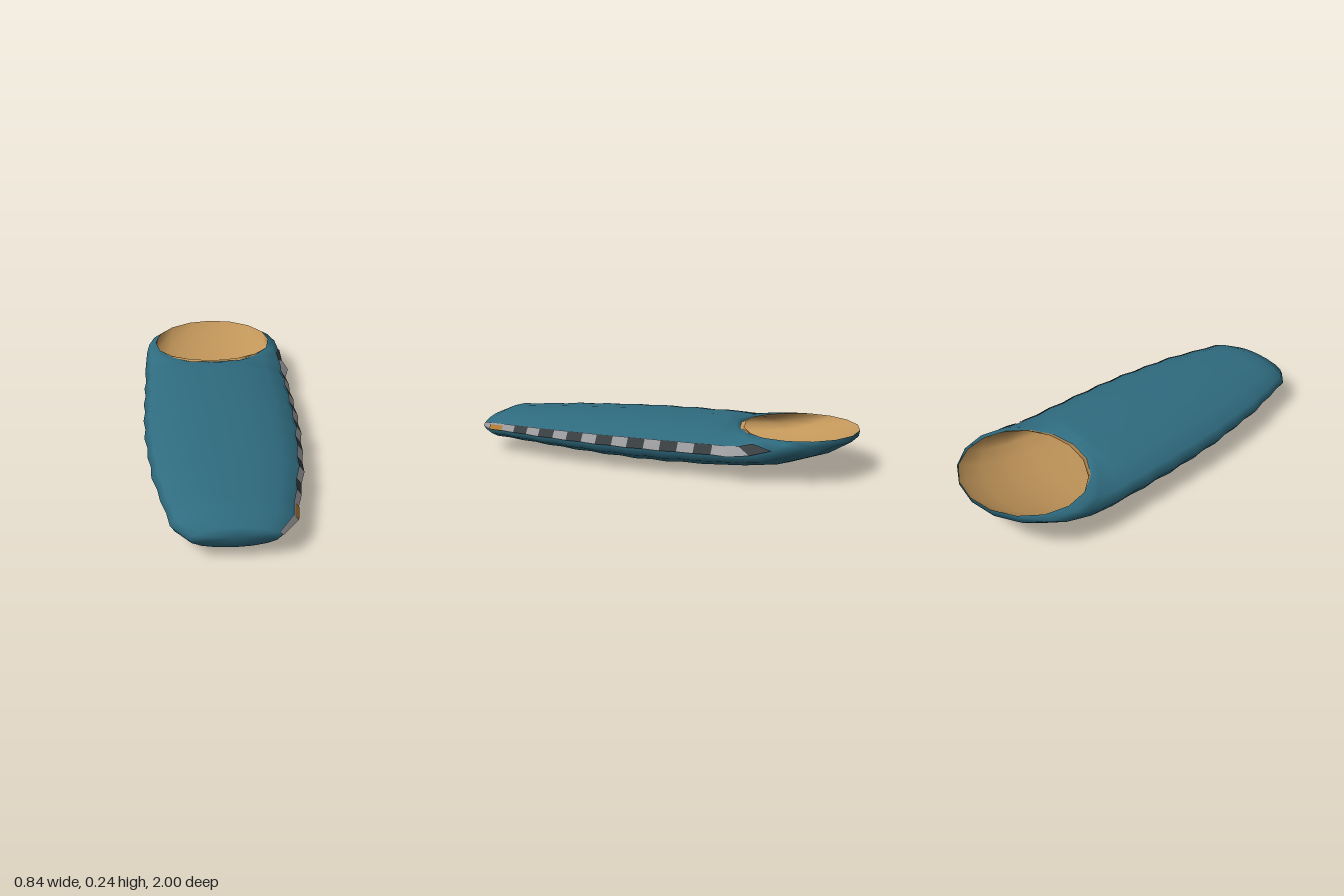
import * as THREE from 'three';

const SIDES = 16;
const CENTRE_X = -0.012;

const mat = (name, color, side = THREE.FrontSide) => {
  const m = new THREE.MeshStandardMaterial({ color, side });
  m.name = name;
  return m;
};

// Ring: top point (z, y), bottom point (z, y), half width
const ring = (zt, yt, zb, yb, hw) => ({ zt, yt, zb, yb, hw });

const scaled = (r, k, kw = k) => {
  const zc = (r.zt + r.zb) / 2, yc = (r.yt + r.yb) / 2;
  return ring(zc + (r.zt - zc) * k, yc + (r.yt - yc) * k,
    zc + (r.zb - zc) * k, yc + (r.yb - yc) * k, r.hw * kw);
};

const pointOn = (r, s) => {
  const a = (s / SIDES) * Math.PI * 2, c = Math.cos(a);
  return new THREE.Vector3(CENTRE_X + r.hw * Math.sin(a),
    (r.yt + r.yb) / 2 + (r.yt - r.yb) / 2 * c,
    (r.zt + r.zb) / 2 + (r.zt - r.zb) / 2 * c);
};

// Smooth skin through the rings, closed at the first one
function loft(rings, inward) {
  const pos = [], idx = [];
  const tri = (a, b, c) => idx.push(...(inward ? [a, c, b] : [a, b, c]));
  rings.forEach(r => {
    for (let s = 0; s < SIDES; s++) pos.push(...pointOn(r, s).toArray());
  });
  const f = rings[0], cap = rings.length * SIDES;
  pos.push(CENTRE_X, (f.yt + f.yb) / 2, f.zt);
  for (let s = 0; s < SIDES; s++) {
    const n = (s + 1) % SIDES;
    tri(cap, n, s);
    for (let i = 0; i < rings.length - 1; i++) {
      const a = i * SIDES, b = a + SIDES;
      tri(a + s, a + n, b + s);
      tri(a + n, b + n, b + s);
    }
  }
  const g = new THREE.BufferGeometry();
  g.setAttribute('position', new THREE.Float32BufferAttribute(pos, 3));
  g.setIndex(idx);
  g.computeVertexNormals();
  return g;
}

// Four-cornered patch: a, b along the bottom, c, d along the top
function patch(a, b, c, d) {
  const g = new THREE.BufferGeometry().setFromPoints([a, b, c, d]);
  g.setIndex([0, 1, 2, 0, 2, 3]);
  g.computeVertexNormals();
  return g;
}

export function createModel() {
  const group = new THREE.Group();
  const shellMat = mat('teal fabric', 0x2f6b7f);
  const liningMat = mat('tan lining', 0xc2965a);
  const lightMat = mat('light zip tape', 0x9b9b9d, THREE.DoubleSide);
  const darkMat = mat('dark zip tape', 0x3a3f42, THREE.DoubleSide);
  const pullMat = mat('brass zip pull', 0xb07d35, THREE.DoubleSide);

  const add = (name, geo, material) => {
    const m = new THREE.Mesh(geo, material);
    m.name = name;
    group.add(m);
  };

  // Quilted puffs: [top y, bottom y, half width] at each ridge
  const ridges = [
    [0.205, 0.042, 0.27], [0.214, 0.036, 0.312], [0.224, 0.028, 0.353],
    [0.231, 0.017, 0.374], [0.236, 0.009, 0.394], [0.24, 0.002, 0.402],
    [0.24, 0, 0.405], [0.236, 0.006, 0.405],
  ];
  const rings = [ring(1, 0.17, 1, 0.066, 0.195)];
  ridges.forEach(([yt, yb, hw], k) => {
    const z = 0.915 - 0.17 * k;
    rings.push(ring(z, yt, z, yb, hw));
    // Stitched valley between two ridges
    const [yt2, yb2, hw2] = ridges[k + 1] || ridges[k];
    const v = ring(z - 0.085, (yt + yt2) / 2, z - 0.085, (yb + yb2) / 2, (hw + hw2) / 2);
    rings.push(scaled(v, 0.965, 0.98));
  });
  const hoodStart = rings.length - 1;
  // Hood rings tip back until the opening lies flat
  rings.push(
    ring(-0.375, 0.226, -0.52, 0.022, 0.405),
    ring(-0.39, 0.22, -0.70, 0.045, 0.402),
    ring(-0.4, 0.215, -0.89, 0.108, 0.396),
    ring(-0.405, 0.208, -0.995, 0.17, 0.382),
    ring(-0.41, 0.2, -1, 0.2, 0.342),
  );
  add('quiltedShell', loft(rings, false), shellMat);

  // Lining runs from the rim down inside the bag
  const rim = rings[rings.length - 1];
  const lining = rings.slice(1, -1).map(r => scaled(r, 0.9, 0.9));
  lining.push(rim);
  add('lining', loft(lining, true), liningMat);

  // Zip tape follows one row of facets on the left side
  const zip = (i, s) => {
    const p = pointOn(rings[i], s);
    p.x += i === hoodStart + 1 && s === 4 ? 0.026 : 0.007;
    return p;
  };
  for (let i = 0; i < hoodStart + 3; i++) {
    const dark = i < hoodStart ? i > 2 && i % 2 === 1 : i === hoodStart + 2;
    add('zipTape' + i, patch(zip(i, 4), zip(i + 1, 4), zip(i + 1, 3), zip(i, 3)),
      dark ? darkMat : lightMat);
  }

  // Zip pull near the foot
  const pull = [zip(1, 4), zip(2, 4), zip(2, 3), zip(1, 3)];
  pull[2].lerp(pull[1], 0.25);
  pull[3].lerp(pull[0], 0.25);
  pull.forEach(p => { p.x += 0.004; });
  add('zipPull', patch(...pull), pullMat);

  return group;
}
